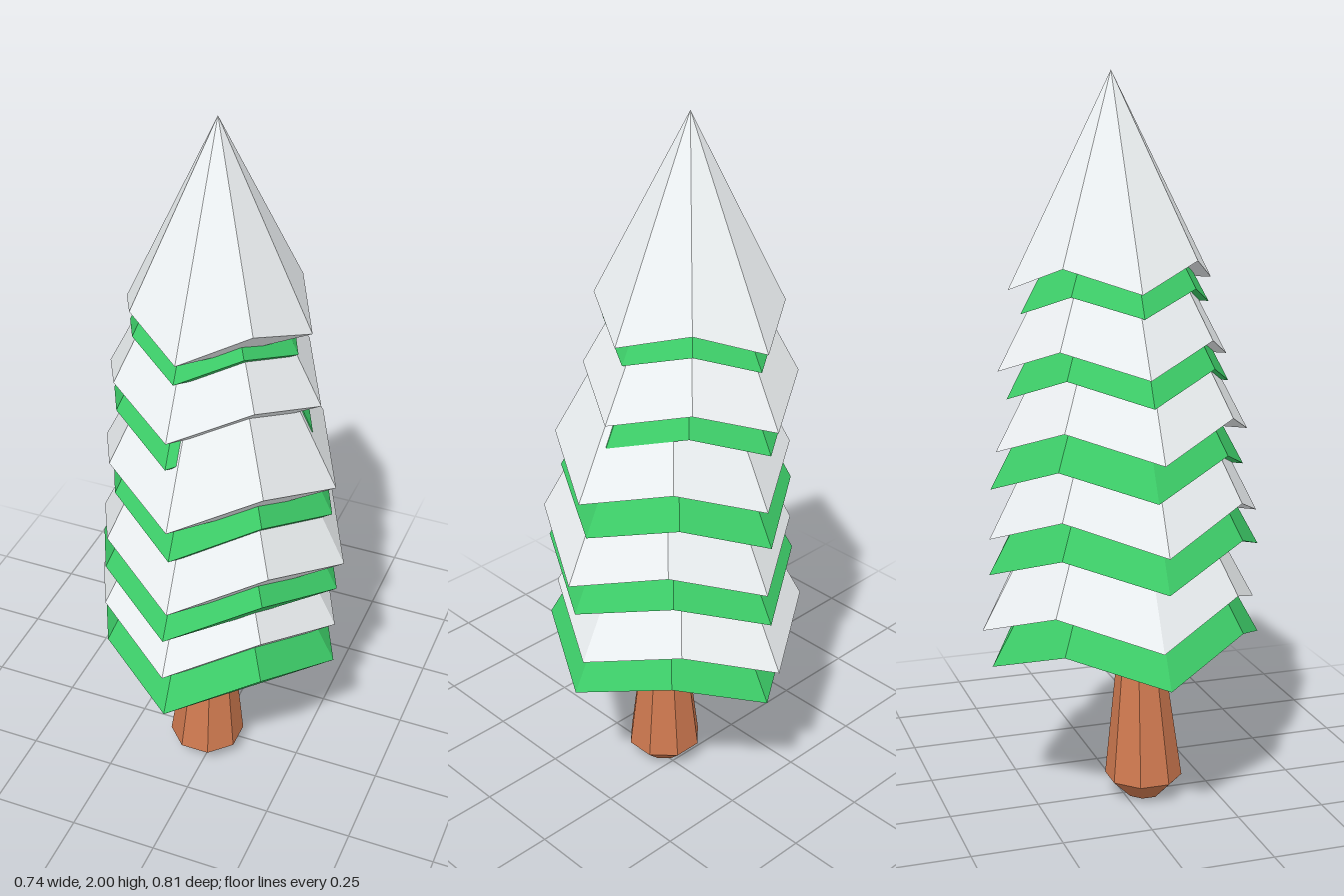
import * as THREE from 'three';

const material = (color) => new THREE.MeshStandardMaterial({ color, flatShading: true, side: THREE.DoubleSide });

// Underside of a tier: the eight hem corners closed by six triangles
const UNDERSIDE = [[0, 1, 2], [7, 0, 2], [7, 2, 3], [6, 7, 3], [5, 6, 3], [5, 3, 4]];

// Eight-sided cone whose hem zigzags: corners on the axes hang lower than the diagonal ones
function tierGeometry(cx, cz, rx, rz, hem, height) {
  const apex = [cx, hem + height, cz];
  const ring = [];
  for (let k = 0; k < 8; k++) {
    const a = (k * Math.PI) / 4;
    const raised = k % 2;
    const s = raised ? 0.91 : 1;
    const z = Math.cos(a) * rz * s;
    const lift = raised ? height * 0.12 : 0;
    ring.push([cx + Math.sin(a) * rx * s, hem + lift + 0.025 * z, cz + z]);
  }
  const points = [];
  for (let k = 0; k < 8; k++) points.push(...apex, ...ring[k], ...ring[(k + 1) % 8]);
  for (const [a, b, c] of UNDERSIDE) points.push(...ring[a], ...ring[c], ...ring[b]);
  const geometry = new THREE.BufferGeometry();
  geometry.setAttribute('position', new THREE.Float32BufferAttribute(points, 3));
  geometry.computeVertexNormals();
  return geometry;
}

export function createModel() {
  const tree = new THREE.Group();
  tree.name = 'snowyTree';
  const green = material(0x3ed06a);
  const snow = material(0xf0f4f6);
  const bark = material(0xd07a50);

  // Tiers from bottom to top: centre x, centre z, radius x, radius z, hem height, cone height
  const branches = [
    [0.0, 0.015, 0.355, 0.388, 0.43, 0.7],
    [0.0, 0.01, 0.352, 0.388, 0.69, 0.7],
    [0.0, -0.01, 0.322, 0.36, 0.925, 0.66],
    [-0.03, -0.02, 0.285, 0.31, 1.17, 0.58],
    [-0.03, -0.03, 0.235, 0.26, 1.39, 0.47],
  ];
  const snowCaps = [
    [-0.012, -0.01, 0.358, 0.392, 0.54, 0.72],
    [0.012, 0.012, 0.357, 0.385, 0.785, 0.74],
    [0.0, 0.003, 0.333, 0.357, 1.025, 0.67],
    [-0.03, -0.035, 0.3, 0.318, 1.245, 0.59],
    [-0.02, -0.04, 0.257, 0.28, 1.453, 0.547],
  ];
  const addTiers = (rows, name, mat) => rows.forEach((row, i) => {
    const mesh = new THREE.Mesh(tierGeometry(...row), mat);
    mesh.name = name + (i + 1);
    tree.add(mesh);
  });
  addTiers(branches, 'branchTier', green);
  addTiers(snowCaps, 'snowTier', snow);

  // Tapered octagonal trunk with a chamfered foot
  const profile = [[0, 0], [0.05, 0.004], [0.108, 0.06], [0.06, 0.45], [0.045, 0.6], [0, 0.6]]
    .map(([r, y]) => new THREE.Vector2(r, y));
  const trunkGeometry = new THREE.LatheGeometry(profile, 8, Math.PI / 8);
  // Lean the trunk slightly towards the middle of the tree
  const p = trunkGeometry.attributes.position;
  for (let i = 0; i < p.count; i++) {
    p.setX(i, p.getX(i) - 0.018 + 0.02 * p.getY(i));
    p.setZ(i, p.getZ(i) + 0.055 - 0.02 * p.getY(i));
  }
  const trunk = new THREE.Mesh(trunkGeometry, bark);
  trunk.name = 'trunk';
  tree.add(trunk);

  return tree;
}
